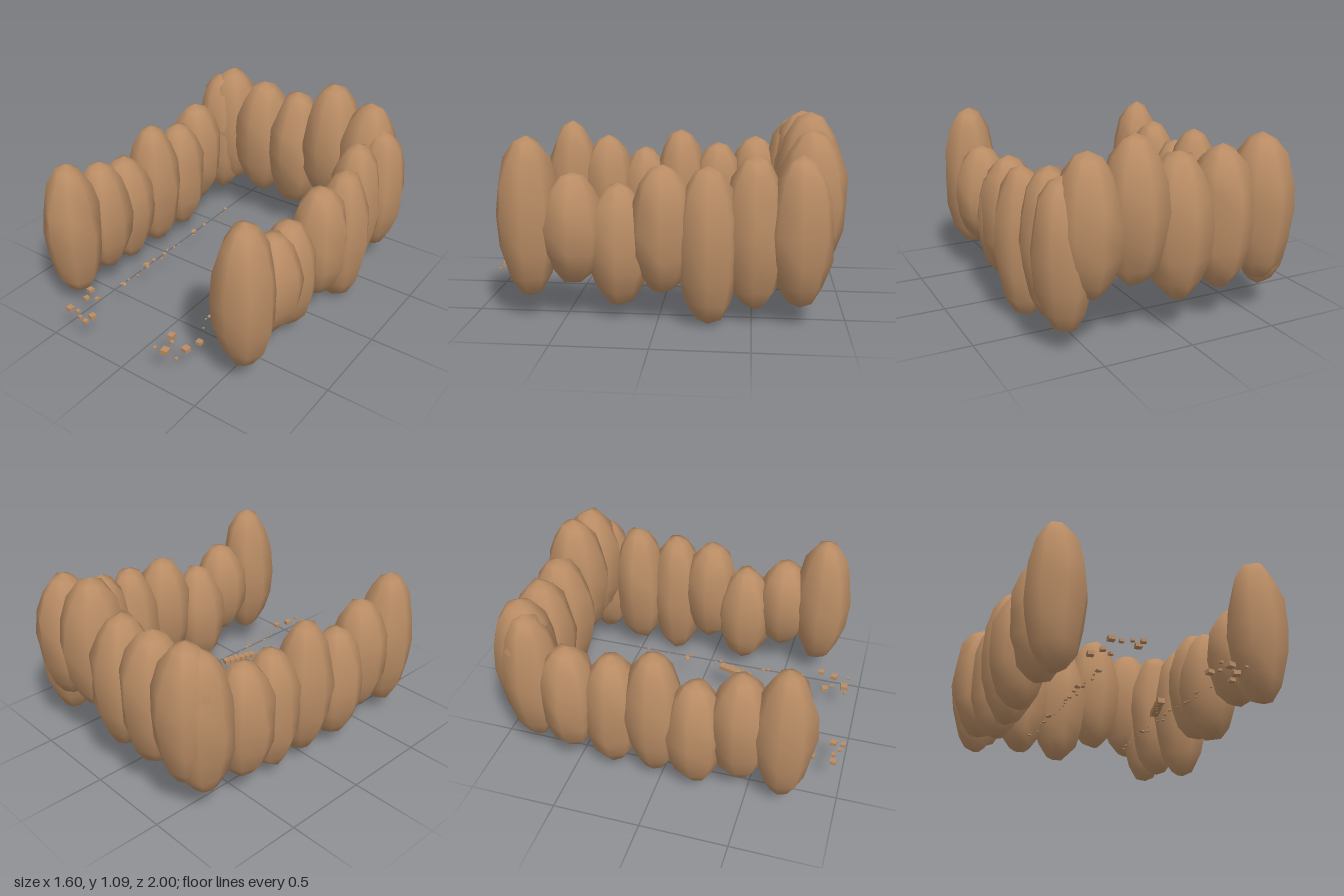
import * as THREE from 'three';
import { mergeVertices } from 'three/addons/utils/BufferGeometryUtils.js';

// Small seeded generator, so the stones vary but never change
let seed = 7;
function rand(min, max) {
  seed = (seed * 16807) % 2147483647;
  return min + (max - min) * (seed / 2147483647);
}

// Tall pointed stone: an ellipsoid whose inner vertices are nudged outwards or inwards
function stoneGeometry(rx, ry, rz) {
  let geo = new THREE.SphereGeometry(1, 8, 8);
  geo.deleteAttribute('uv');
  geo.deleteAttribute('normal');
  geo = mergeVertices(geo, 1e-4);
  const p = geo.attributes.position;
  for (let i = 0; i < p.count; i++) {
    const pole = Math.abs(p.getY(i)) > 0.99;
    const k = pole ? 1 : rand(0.96, 1.1);
    const lift = pole ? 0 : rand(-0.03, 0.03);
    p.setXYZ(i, p.getX(i) * k * rx, (p.getY(i) + lift) * ry, p.getZ(i) * k * rz);
  }
  geo.computeVertexNormals();
  return geo;
}

export function createModel() {
  seed = 7;
  const model = new THREE.Group();
  model.name = 'stoneEnclosure';
  const stone = new THREE.MeshStandardMaterial({ color: 0xba8d65 });
  stone.name = 'sandstone';

  // Rows of upright stones: x, z, bottom, top
  const rows = {
    leftWall: [
      [0.59, 0.69, 0.12, 0.99], [0.595, 0.45, 0.2, 0.8], [0.55, 0.21, 0.07, 0.74],
      [0.605, -0.03, 0.16, 0.85], [0.62, -0.27, 0, 0.85], [0.565, -0.51, 0.07, 0.9],
      [0.6, -0.75, 0.1, 0.91],
    ],
    rightWall: [
      [-0.6, 0.69, 0.08, 0.93], [-0.59, 0.45, 0.13, 0.84], [-0.62, 0.21, 0.07, 0.76],
      [-0.6, -0.03, 0.07, 0.88], [-0.59, -0.27, 0.07, 0.8], [-0.63, -0.51, 0.15, 0.84],
      [-0.59, -0.75, 0.14, 0.98],
    ],
    backWall: [
      [-0.53, -0.8, 0.2, 1.02], [-0.28, -0.8, 0.2, 0.985], [-0.02, -0.8, 0.18, 0.975],
      [0.235, -0.8, 0.3, 1.09], [0.49, -0.8, 0.27, 1.03],
    ],
  };
  for (const [name, stones] of Object.entries(rows)) {
    const wall = new THREE.Group();
    wall.name = name;
    const r = name === 'backWall' ? 0.178 : 0.163;
    for (const [x, z, bottom, top] of stones) {
      const mesh = new THREE.Mesh(stoneGeometry(r, (top - bottom) / 2, r + 0.005), stone);
      mesh.name = 'uprightStone';
      mesh.position.set(x, (top + bottom) / 2, z);
      wall.add(mesh);
    }
    model.add(wall);
  }

  // Loose rubble lying at one level
  const rubble = new THREE.Group();
  rubble.name = 'rubble';
  model.add(rubble);
  function addChunk(name, geo, x, y, z, sx, sy, sz, turn) {
    const mesh = new THREE.Mesh(geo, stone);
    mesh.name = name;
    mesh.position.set(x, y, z);
    mesh.scale.set(sx, sy, sz);
    mesh.rotation.y = turn;
    rubble.add(mesh);
  }
  const block = new THREE.BoxGeometry(1, 1, 1);
  const pebble = new THREE.DodecahedronGeometry(0.5);

  // Square blocks at the entrance: x, z, size
  const blocks = [
    [-0.435, 0.76, 0.034], [-0.4, 0.83, 0.028], [-0.345, 0.8, 0.023], [-0.41, 0.95, 0.034],
    [-0.355, 0.945, 0.022], [-0.26, 0.93, 0.034], [-0.31, 0.972, 0.02], [-0.26, 0.985, 0.027],
    [0.355, 0.76, 0.032], [0.2, 0.805, 0.036], [0.235, 0.845, 0.02], [0.33, 0.845, 0.038],
    [0.25, 0.918, 0.04], [0.19, 0.93, 0.018], [0.335, 0.932, 0.016],
  ];
  for (const [x, z, s] of blocks) {
    addChunk('entranceBlock', block, x, 0.187, z, s, s * 0.6, s, rand(-0.3, 0.3));
  }

  // Short curved line of larger blocks inside the left wall
  for (let i = 0; i < 6; i++) {
    const t = i / 5;
    addChunk('innerBlock', block, 0.215 - 0.05 * t, 0.2, 0.155 + 0.175 * t,
      0.044 - 0.004 * t, 0.028, 0.034, -0.3 + 0.2 * t);
  }

  // Pebble trails: z, size
  const trails = [
    [-0.32, [[-0.43, 0.03], [-0.35, 0.02], [-0.23, 0.012], [-0.19, 0.03], [-0.09, 0.045],
      [-0.05, 0.015], [0.03, 0.012], [0.09, 0.015], [0.13, 0.02], [0.18, 0.025], [0.22, 0.03],
      [0.27, 0.02], [0.31, 0.03], [0.37, 0.045], [0.385, 0.03], [0.43, 0.015], [0.49, 0.02],
      [0.55, 0.02], [0.6, 0.04], [0.61, 0.02]]],
    [0.275, [[-0.43, 0.02], [-0.37, 0.025], [-0.31, 0.012], [-0.23, 0.015], [-0.17, 0.012],
      [-0.1, 0.045], [-0.08, 0.025], [-0.01, 0.015], [0.09, 0.02], [0.12, 0.025], [0.2, 0.02],
      [0.27, 0.025], [0.33, 0.015], [0.4, 0.03], [0.43, 0.025], [0.5, 0.015], [0.55, 0.025],
      [0.58, 0.015], [0.65, 0.015]]],
  ];
  for (const [x, pebbles] of trails) {
    for (const [z, s] of pebbles) {
      addChunk('pebble', pebble, x + rand(-0.025, 0.025), 0.183, z, s, Math.min(s * 0.6, 0.016), s * 0.8, rand(0, 3));
    }
  }
  return model;
}
